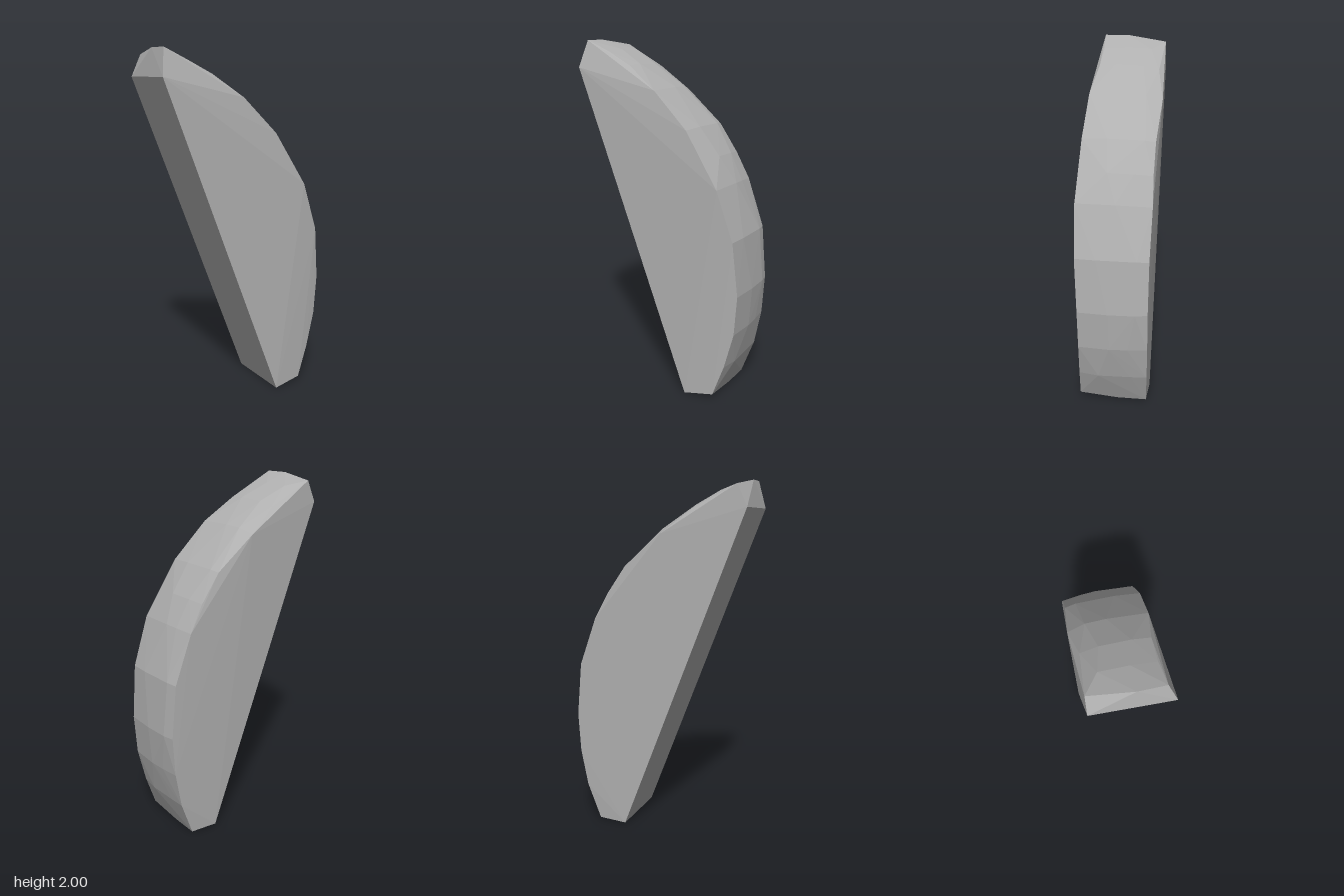
import * as THREE from 'three';
import { ConvexGeometry } from 'three/addons/geometries/ConvexGeometry.js';

export function createModel() {
  const model = new THREE.Group();
  const stone = new THREE.MeshStandardMaterial({ color: 0xb0b0b0 });
  stone.name = 'grey stone';

  const points = [];
  const add = (x, y, z) => points.push(new THREE.Vector3(x, y, z));

  // Flat cut face
  for (const z of [0.22, -0.195]) {
    add(-0.517, 1.85, z);
    add(0.195, 0, z);
  }

  // Top and bottom ends
  add(-0.487, 2.0, 0.17);
  add(-0.492, 2.0, 0.03);
  add(-0.462, 1.97, -0.195);
  add(0.37, 0.03, 0.2);
  add(0.36, 0.005, -0.02);
  add(0.36, 0.008, -0.19);

  // Curved rim: x, y, front edge z, back edge z, front inset, back inset
  const rim = [
    [-0.35, 1.948, 0.156, -0.15, 0.008, 0.03],
    [-0.2, 1.873, 0.16, -0.18, 0.008, 0.03],
    [-0.02, 1.745, 0.19, -0.218, 0.006, 0.04],
    [0.19, 1.545, 0.197, -0.205, 0.008, 0.02],
    [0.305, 1.39, 0.195, -0.205, 0.02, 0.025],
    [0.385, 1.24, 0.205, -0.212, 0.006, 0.025],
    [0.482, 0.96, 0.195, -0.208, 0.006, 0.02],
    [0.512, 0.65, 0.182, -0.206, 0.006, 0.022],
    [0.495, 0.42, 0.182, -0.205, 0.006, 0.02],
    [0.447, 0.21, 0.19, -0.2, 0.012, 0.012],
  ];
  rim.forEach(([x, y, front, back, insetFront, insetBack], i) => {
    const a = Math.atan2(y - 0.72, x + 0.75);
    const put = (z, inset) => add(x - Math.cos(a) * inset, y - Math.sin(a) * inset, z);
    put(front, insetFront);
    put(0.03 + 0.05 * Math.sin(i * 2.3), 0);
    put(-0.12 + 0.03 * Math.sin(i * 1.7), 0.007);
    put(back, insetBack);
  });

  const segment = new THREE.Mesh(new ConvexGeometry(points), stone);
  segment.name = 'stoneSegment';
  model.add(segment);
  return model;
}
